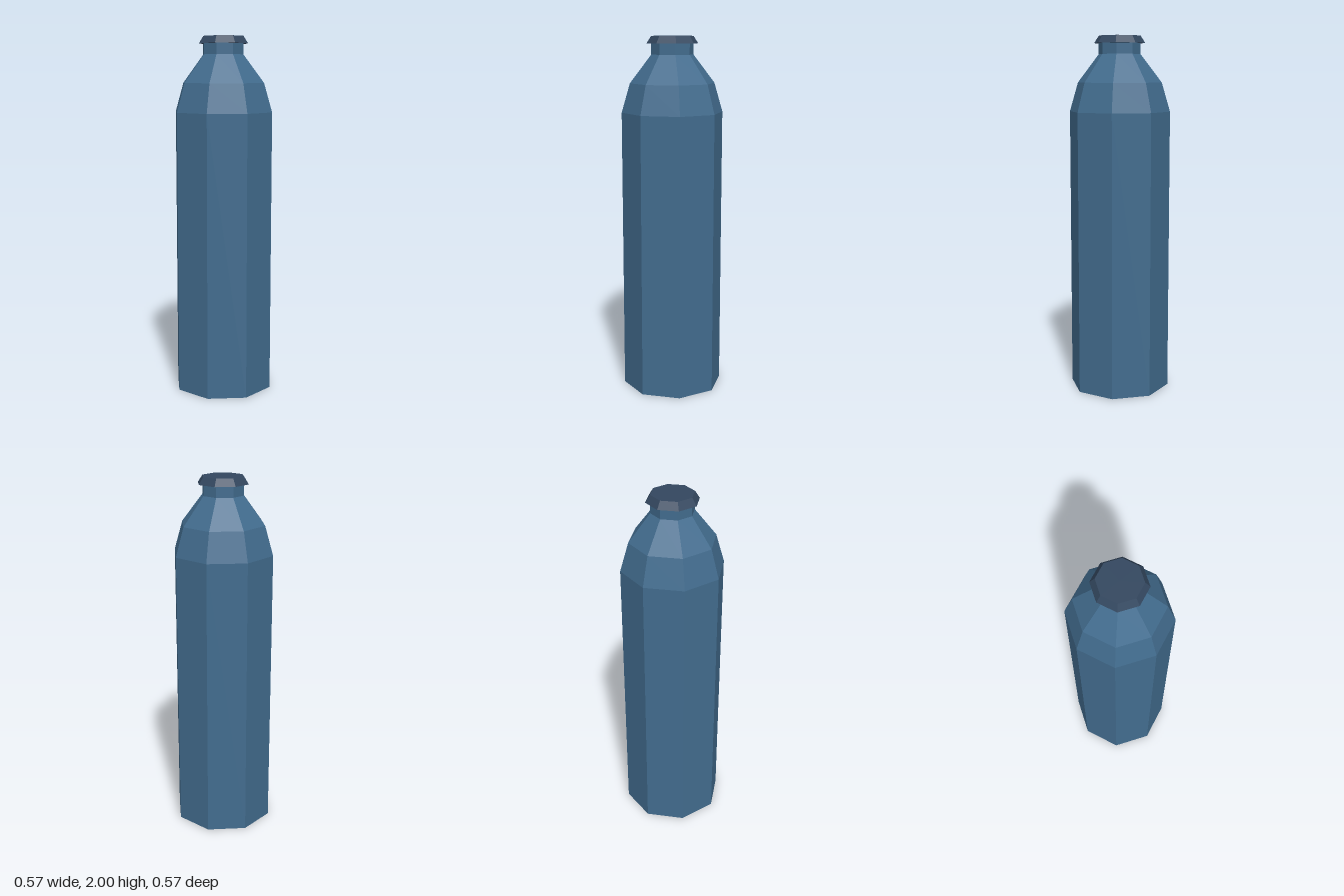
import * as THREE from 'three';

const SIDES = 8;

function facetedLathe(name, profile, material) {
  const points = profile.map(([r, y]) => new THREE.Vector2(r, y));
  const mesh = new THREE.Mesh(new THREE.LatheGeometry(points, SIDES), material);
  mesh.name = name;
  return mesh;
}

export function createModel() {
  const glass = new THREE.MeshStandardMaterial({ color: 0x426c8e, flatShading: true, side: THREE.DoubleSide });
  glass.name = 'blue bottle';
  const lid = new THREE.MeshStandardMaterial({ color: 0x33475f, flatShading: true, side: THREE.DoubleSide });
  lid.name = 'dark blue cap';

  const group = new THREE.Group();
  group.name = 'bottle';

  // Hollow body, open at the base, with straight walls, sloping shoulder and neck
  group.add(facetedLathe('body', [
    [0.283, 0], [0.283, 1.585], [0.236, 1.745], [0.117, 1.9], [0.117, 1.96],
  ], glass));

  // Flared cap: underside lip, tapered rim and flat top
  group.add(facetedLathe('cap', [
    [0.117, 1.96], [0.143, 1.96], [0.117, 2], [0, 2],
  ], lid));

  return group;
}
